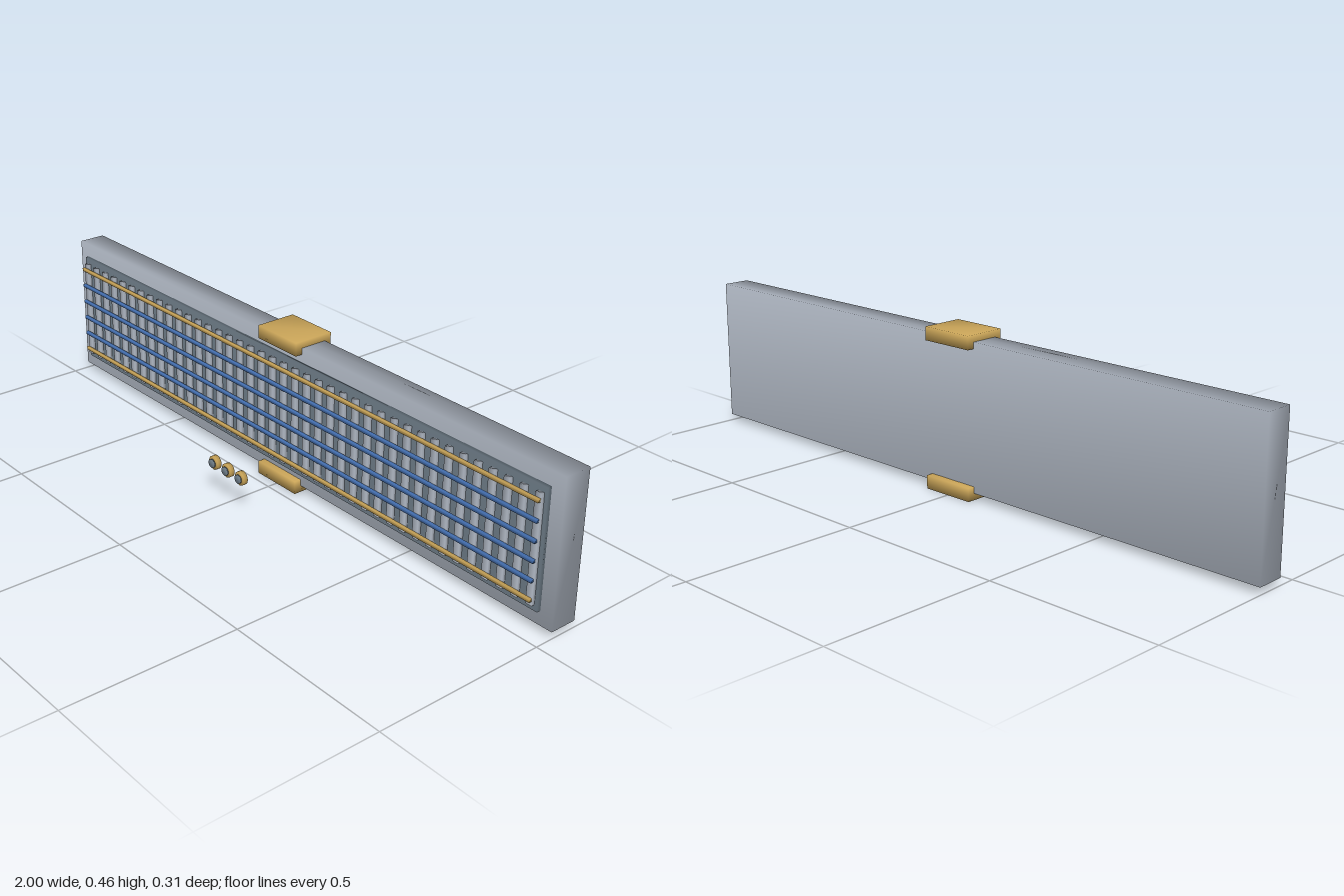
import * as THREE from 'three';
import { mergeVertices } from 'three/addons/utils/BufferGeometryUtils.js';

const mat = (name, color) => {
  const m = new THREE.MeshStandardMaterial({ color });
  m.name = name;
  return m;
};

// weld corners so normals run smoothly across edges
function soften(geo) {
  geo.deleteAttribute('uv');
  geo.deleteAttribute('normal');
  const g = mergeVertices(geo, 1e-5);
  g.computeVertexNormals();
  return g;
}

export function createModel() {
  const root = new THREE.Group();
  root.name = 'wallPanel';
  const silver = mat('silver', 0xb4bcc8);
  const slate = mat('slate', 0x74838f);
  const brass = mat('brass', 0xc9a458);
  const blue = mat('blue', 0x4672b4);

  function add(name, geo, material, x, y, z) {
    const mesh = new THREE.Mesh(geo, material);
    mesh.name = name;
    mesh.position.set(x, y, z);
    root.add(mesh);
    return mesh;
  }
  const box = (w, h, d) => soften(new THREE.BoxGeometry(w, h, d));
  const disc = (r, d) => soften(new THREE.CylinderGeometry(r, r, d, 20).rotateX(Math.PI / 2));

  // main slab and raised back plate
  add('housing', box(2, 0.417, 0.08), silver, 0, 0.228, -0.091);
  add('grillePlate', box(1.92, 0.336, 0.014), slate, 0, 0.228, -0.046);

  // clamps gripping the top and bottom edges
  const clamp = box(0.16, 0.038, 0.122);
  add('bottomClamp', clamp, brass, 0, 0.019, -0.091);
  add('topClamp', clamp, brass, 0, 0.437, -0.091);

  // vertical slats
  const slat = box(0.019, 0.302, 0.013);
  const count = 40;
  for (let i = 0; i < count; i++) {
    add('slat', slat, silver, -0.941 + (1.882 * i) / (count - 1), 0.228, -0.0345);
  }

  // horizontal rods: brass outside, blue between
  const rod = box(1.9, 0.009, 0.009);
  for (let i = 0; i < 6; i++) {
    const outer = i === 0 || i === 5;
    add(outer ? 'brassRod' : 'blueRod', rod, outer ? brass : blue, 0, 0.094 + 0.0538 * i, -0.0238);
  }

  // three knobs floating in front, each with a small cap
  const knob = disc(0.02, 0.013);
  const cap = disc(0.0125, 0.005);
  for (const x of [-0.058, 0, 0.058]) {
    add('knob', knob, brass, x, 0.1, 0.14);
    add('knobCap', cap, slate, x, 0.1, 0.1515);
  }
  return root;
}
